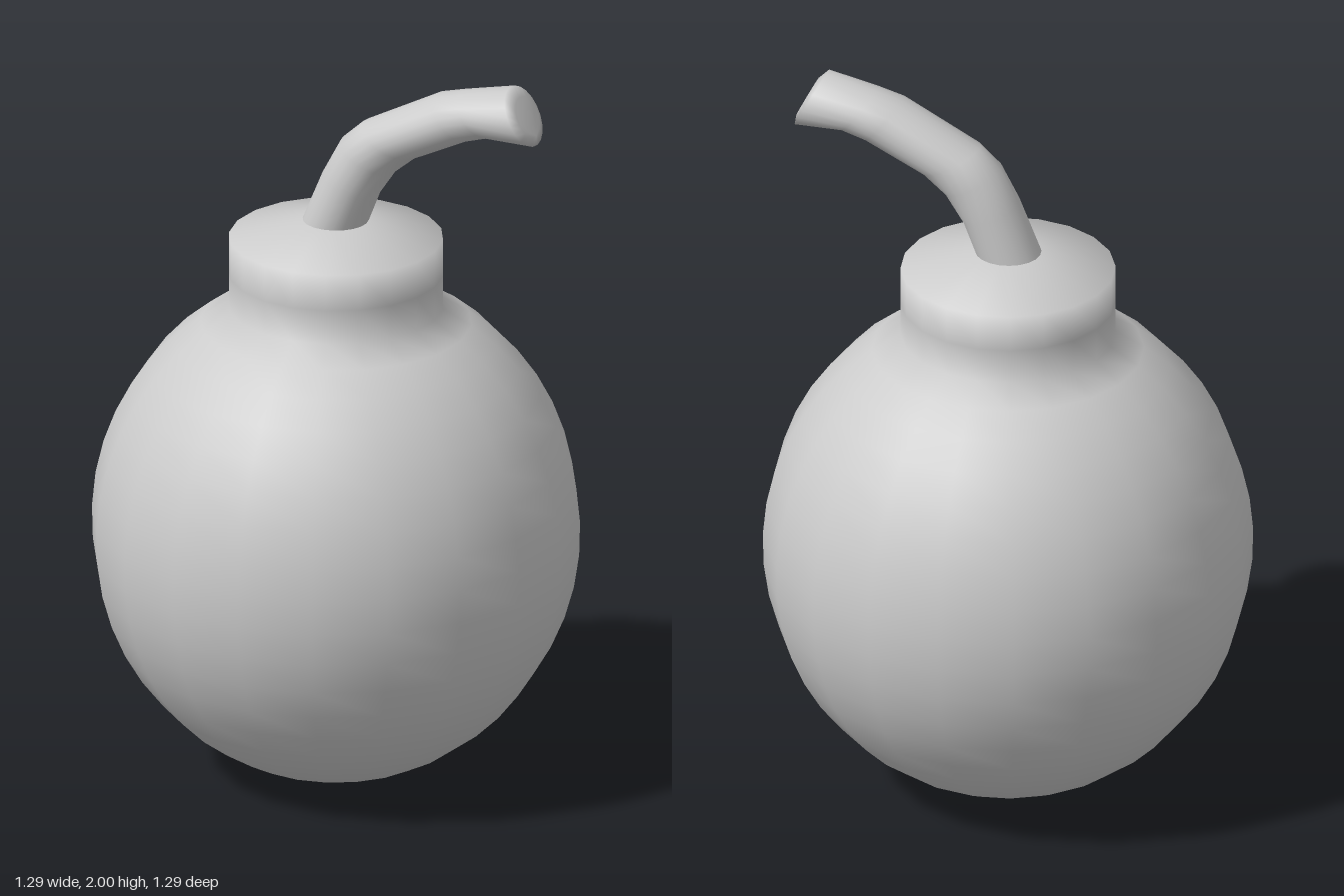
import * as THREE from 'three';

const SIDES = 20;

// Loft elliptical rings between left/right profile points [xL, yL, xR, yR, halfDepth]
function loft(rings, sides) {
  const pos = [], idx = [];
  for (const [xl, yl, xr, yr, d] of rings) {
    for (let j = 0; j < sides; j++) {
      const a = (j / sides) * Math.PI * 2, c = Math.cos(a) / 2;
      pos.push((xl + xr) / 2 + (xr - xl) * c, (yl + yr) / 2 + (yr - yl) * c, Math.sin(a) * d);
    }
  }
  for (let i = 0; i < rings.length - 1; i++) {
    for (let j = 0; j < sides; j++) {
      const k = (j + 1) % sides, a = i * sides, b = a + sides;
      idx.push(a + j, b + j, a + k, a + k, b + j, b + k);
    }
  }
  // Close the far end with a fan
  const last = (rings.length - 1) * sides;
  for (let j = 1; j < sides - 1; j++) idx.push(last, last + j + 1, last + j);
  const g = new THREE.BufferGeometry();
  g.setAttribute('position', new THREE.Float32BufferAttribute(pos, 3));
  g.setIndex(idx);
  g.computeVertexNormals();
  return g;
}

export function createModel() {
  const group = new THREE.Group();
  const mat = new THREE.MeshStandardMaterial({ color: 0xcccccc });
  const add = (name, geometry) => {
    const mesh = new THREE.Mesh(geometry, mat);
    mesh.name = name;
    group.add(mesh);
  };

  // Round body running into the collar and its shallow conical top
  const rx = 0.645, ry = 0.688, neck = 0.283;
  const end = Math.PI - Math.asin(neck / rx);
  const profile = [];
  for (let i = 0; i <= 20; i++) {
    const t = (i / 20) * end;
    profile.push(new THREE.Vector2(rx * Math.sin(t), ry - ry * Math.cos(t)));
  }
  for (const [r, y] of [[neck, 1.4], [neck, 1.5], [0.085, 1.55], [0, 1.555]]) {
    profile.push(new THREE.Vector2(r, y));
  }
  add('bodyAndCollar', new THREE.LatheGeometry(profile, SIDES));

  // Bent fuse, leaning to +x, with a slightly domed tip
  add('fuse', loft([
    [-0.09, 1.545, 0.085, 1.545, 0.086],
    [-0.03, 1.69, 0.12, 1.635, 0.086],
    [0.02, 1.785, 0.17, 1.71, 0.086],
    [0.08, 1.84, 0.23, 1.76, 0.086],
    [0.29, 1.95, 0.385, 1.835, 0.086],
    [0.36, 1.968, 0.45, 1.855, 0.086],
    [0.498, 2.0, 0.578, 1.85, 0.086],
    [0.525, 1.975, 0.575, 1.875, 0.058],
  ], SIDES));

  return group;
}
